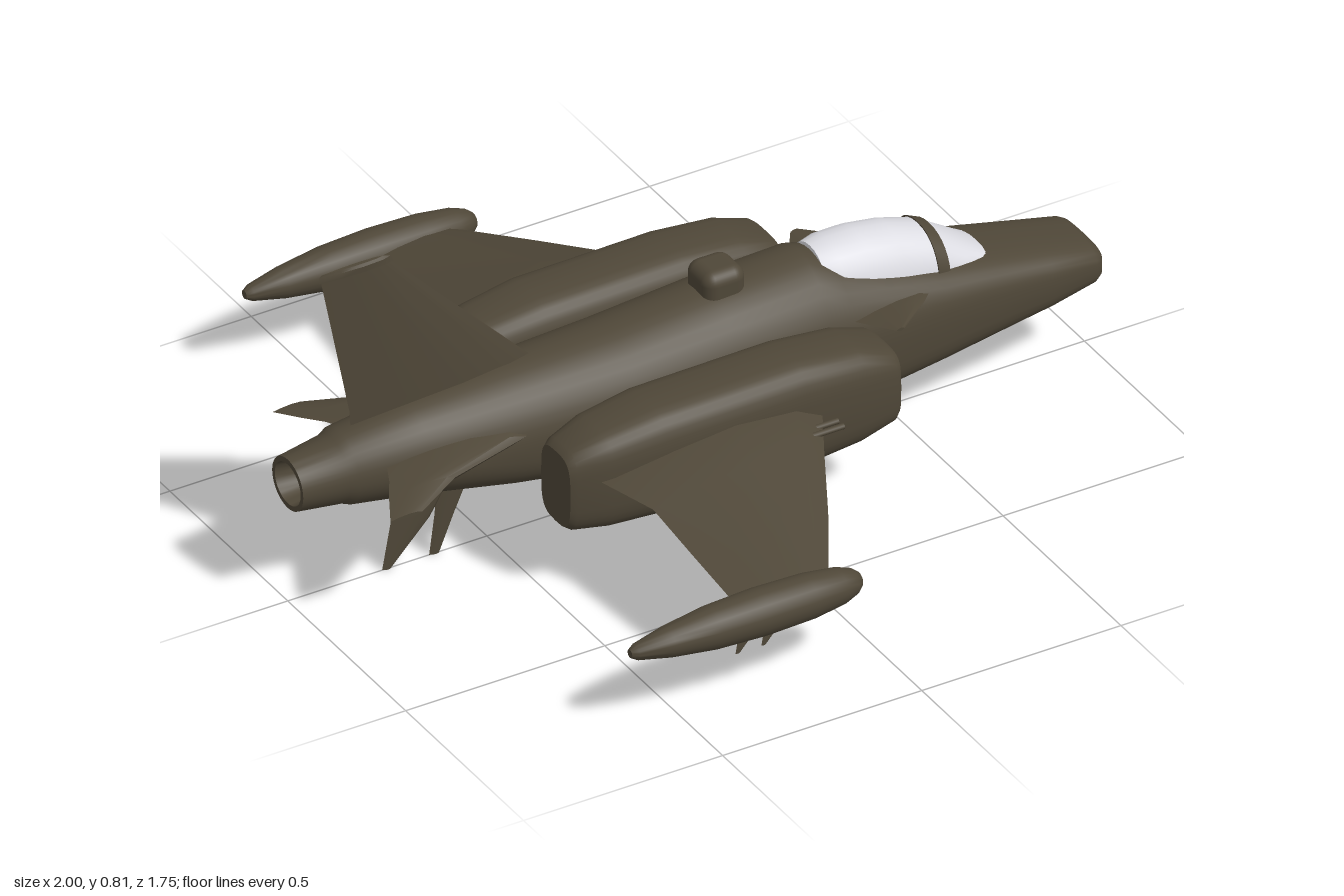
import * as THREE from 'three';
import { toCreasedNormals } from 'three/addons/utils/BufferGeometryUtils.js';
import { RoundedBoxGeometry } from 'three/addons/geometries/RoundedBoxGeometry.js';

const paint = new THREE.MeshStandardMaterial({ color: 0x4f4738 });
paint.name = 'olive drab paint';
const glass = new THREE.MeshStandardMaterial({ color: 0xdcdce2 });
glass.name = 'canopy glass';

// Skin a list of closed rings of [x, y, z] points and cap both ends.
function loft(rings, crease = 0.6) {
  const pos = [];
  const n = rings[0].length;
  const tri = (...p) => p.forEach((v) => pos.push(...v));
  const centre = (r) => [0, 1, 2].map((k) => r.reduce((s, p) => s + p[k], 0) / n);
  for (let i = 0; i < rings.length - 1; i++) {
    for (let j = 0; j < n; j++) {
      const k = (j + 1) % n;
      const a = rings[i][j], b = rings[i][k], c = rings[i + 1][j], d = rings[i + 1][k];
      tri(a, c, b);
      tri(b, c, d);
    }
  }
  const first = rings[0], last = rings[rings.length - 1];
  for (let j = 0; j < n; j++) {
    const k = (j + 1) % n;
    tri(centre(first), first[j], first[k]);
    tri(centre(last), last[k], last[j]);
  }
  const g = new THREE.BufferGeometry();
  g.setAttribute('position', new THREE.Float32BufferAttribute(pos, 3));
  return toCreasedNormals(g, crease);
}

// Body along x from stations [x, halfWidth, yBottom, yMid, yTop, topPower, bottomPower].
function hull(stations, zc = 0, sides = 32) {
  return loft(stations.map(([x, w, yb, ym, yt, nt = 2, nb = nt]) => {
    const ring = [];
    for (let j = 0; j < sides; j++) {
      const t = (j / sides) * Math.PI * 2;
      const c = Math.cos(t), s = Math.sin(t);
      const e = 2 / (s >= 0 ? nt : nb);
      const h = s >= 0 ? yt - ym : ym - yb;
      ring.push([x, ym + h * Math.sign(s) * Math.abs(s) ** e, zc + w * Math.sign(c) * Math.abs(c) ** e]);
    }
    return ring;
  }));
}

// Wing or fin along z or y from stations [span, xLead, xTrail, offset, thickness].
const FOIL = [[1, 0], [0.7, 0.35], [0.4, 0.5], [0.12, 0.36], [0, 0], [0.12, -0.36], [0.4, -0.5], [0.7, -0.35]];
function foil(stations, axis) {
  return loft(stations.map(([s, lead, trail, off, th]) => FOIL.map(([c, h]) => {
    const x = lead + (trail - lead) * c;
    return axis === 'z' ? [x, off + th * h, s] : [x, s, off - th * h];
  })), 0.5);
}

// Copy a geometry to the other side of the aircraft.
function mirrored(geometry) {
  const g = geometry.index ? geometry.toNonIndexed() : geometry.clone();
  for (const name of ['position', 'normal']) {
    const a = g.attributes[name];
    for (let i = 0; i < a.count; i += 3) {
      const v = [0, 2, 1].map((k) => [a.getX(i + k), a.getY(i + k), -a.getZ(i + k)]);
      v.forEach((p, k) => a.setXYZ(i + k, ...p));
    }
  }
  return g;
}

export function createModel() {
  const model = new THREE.Group();
  model.name = 'jet aircraft';
  const add = (name, geometry, material = paint) => {
    const mesh = new THREE.Mesh(geometry, material);
    mesh.name = name;
    model.add(mesh);
  };
  const addPair = (name, geometry) => {
    add(name + 'Right', geometry);
    add(name + 'Left', mirrored(geometry));
  };

  // Fuselage, from the recessed exhaust to the blunt nose
  add('fuselage', hull([
    [-0.93, 0.045, 0.265, 0.305, 0.345, 2],
    [-1.0, 0.055, 0.255, 0.305, 0.355, 2],
    [-1.0, 0.066, 0.243, 0.305, 0.368, 2],
    [-0.89, 0.08, 0.23, 0.305, 0.387, 2],
    [-0.87, 0.088, 0.222, 0.305, 0.4, 2],
    [-0.7, 0.108, 0.195, 0.3, 0.42, 2],
    [-0.48, 0.135, 0.165, 0.29, 0.437, 2, 2.6],
    [-0.2, 0.152, 0.14, 0.28, 0.447, 2, 4],
    [0.05, 0.158, 0.133, 0.28, 0.468, 2, 5],
    [0.28, 0.158, 0.132, 0.28, 0.482, 1.9, 5],
    [0.34, 0.157, 0.133, 0.28, 0.462, 2, 5],
    [0.45, 0.152, 0.137, 0.275, 0.427, 2.3, 4.5],
    [0.58, 0.142, 0.147, 0.27, 0.387, 2.8, 4],
    [0.72, 0.128, 0.16, 0.26, 0.357, 3, 3.5],
    [0.86, 0.113, 0.178, 0.25, 0.326, 3, 3.5],
    [0.975, 0.099, 0.2, 0.25, 0.3, 3, 3.5],
    [0.99, 0.092, 0.212, 0.25, 0.292, 3, 3.5],
    [1.0, 0.075, 0.228, 0.255, 0.28, 3, 3],
  ], 0, 40));

  // Canopy, windscreen and the bow between them
  const dome = (x, w, top) => [x, w, 0.33, 0.34, top, 2.2];
  add('canopyGlass', hull([
    dome(0.31, 0.088, 0.482), dome(0.35, 0.1, 0.49), dome(0.42, 0.102, 0.489),
    dome(0.5, 0.1, 0.476), dome(0.585, 0.094, 0.449),
  ]), glass);
  add('canopyBow', hull([dome(0.58, 0.098, 0.454), dome(0.61, 0.094, 0.44)]));
  add('windscreen', hull([dome(0.6, 0.092, 0.441), dome(0.66, 0.082, 0.402), dome(0.73, 0.066, 0.354)]), glass);

  // Side nacelles with recessed intakes
  addPair('intakeNacelle', hull([
    [-0.475, 0.062, 0.175, 0.27, 0.355, 3.5],
    [-0.46, 0.07, 0.165, 0.27, 0.37, 3.5],
    [-0.38, 0.09, 0.155, 0.28, 0.395, 3.5],
    [-0.25, 0.1, 0.15, 0.28, 0.415, 3.5],
    [0.1, 0.1, 0.15, 0.28, 0.42, 3.5],
    [0.25, 0.096, 0.165, 0.28, 0.405, 3.5],
    [0.335, 0.085, 0.19, 0.28, 0.375, 4],
    [0.348, 0.075, 0.2, 0.285, 0.365, 4],
    [0.348, 0.056, 0.222, 0.285, 0.35, 5],
    [0.32, 0.052, 0.226, 0.285, 0.345, 5],
  ], 0.25));

  // Wings
  addPair('wing', foil([
    [0.3, 0.16, -0.42, 0.3, 0.1],
    [0.36, 0.13, -0.4, 0.298, 0.09],
    [0.46, 0.075, -0.355, 0.283, 0.066],
    [0.62, -0.01, -0.348, 0.25, 0.044],
    [0.8, -0.115, -0.34, 0.215, 0.03],
  ], 'z'));

  // Tip tanks, each with two small fins below
  const tank = [[-0.625, 0.01], [-0.61, 0.019], [-0.53, 0.036], [-0.42, 0.05], [-0.3, 0.055], [-0.18, 0.052],
    [-0.1, 0.042], [-0.065, 0.03], [-0.05, 0.018], [-0.044, 0.006]];
  addPair('tipTank', hull(tank.map(([x, r]) => [x, r, 0.204 - r, 0.204, 0.204 + r]), 0.818, 24));
  for (const x of [-0.33, -0.265]) {
    addPair('tankFin', foil([[0.115, x - 0.02, x - 0.03, 0.818, 0.006], [0.17, x + 0.03, x - 0.02, 0.818, 0.012]], 'y'));
  }

  // Tail fin with tip cap
  add('tailFin', foil([
    [0.36, -0.31, -0.84, 0, 0.034],
    [0.44, -0.395, -0.845, 0, 0.026],
    [0.8, -0.745, -0.917, 0, 0.01],
  ], 'y'));
  add('tailFinCap', foil([
    [0.795, -0.735, -0.922, 0, 0.016], [0.81, -0.742, -0.922, 0, 0.018], [0.816, -0.76, -0.915, 0, 0.01],
  ], 'y'));

  // Tailplanes with long root strakes
  addPair('tailplane', foil([
    [0.06, -0.44, -0.79, 0.335, 0.05],
    [0.135, -0.48, -0.825, 0.33, 0.035],
    [0.185, -0.69, -0.855, 0.322, 0.022],
    [0.25, -0.81, -0.89, 0.312, 0.01],
  ], 'z'));

  // Tandem fins under the tail
  add('ventralFinRear', foil([
    [0.002, -0.742, -0.763, 0, 0.01], [0.1, -0.645, -0.745, 0, 0.022], [0.23, -0.56, -0.72, 0, 0.034],
  ], 'y'));
  add('ventralFinFront', foil([
    [0.002, -0.62, -0.645, 0, 0.01], [0.1, -0.58, -0.632, 0, 0.022], [0.23, -0.52, -0.62, 0, 0.034],
  ], 'y'));

  // Small pointed vanes ahead of the intakes
  addPair('foreVane', foil([
    [0.1, 0.56, 0.31, 0.352, 0.025], [0.15, 0.51, 0.345, 0.355, 0.018], [0.225, 0.415, 0.395, 0.36, 0.008],
  ], 'z'));

  // Belly rails
  addPair('bellyRail', new THREE.BoxGeometry(0.4, 0.055, 0.075).translate(0.05, 0.142, 0.12));

  // Twin gun barrels at each wing root
  for (const z of [0.382, 0.406]) {
    addPair('gunBarrel', new THREE.CylinderGeometry(0.007, 0.007, 0.1, 10).rotateZ(Math.PI / 2).translate(0.105, 0.297, z));
  }

  // Raised housing on the spine
  add('spineHousing', new RoundedBoxGeometry(0.105, 0.11, 0.105, 4, 0.03).translate(0.075, 0.463, 0));

  return model;
}
